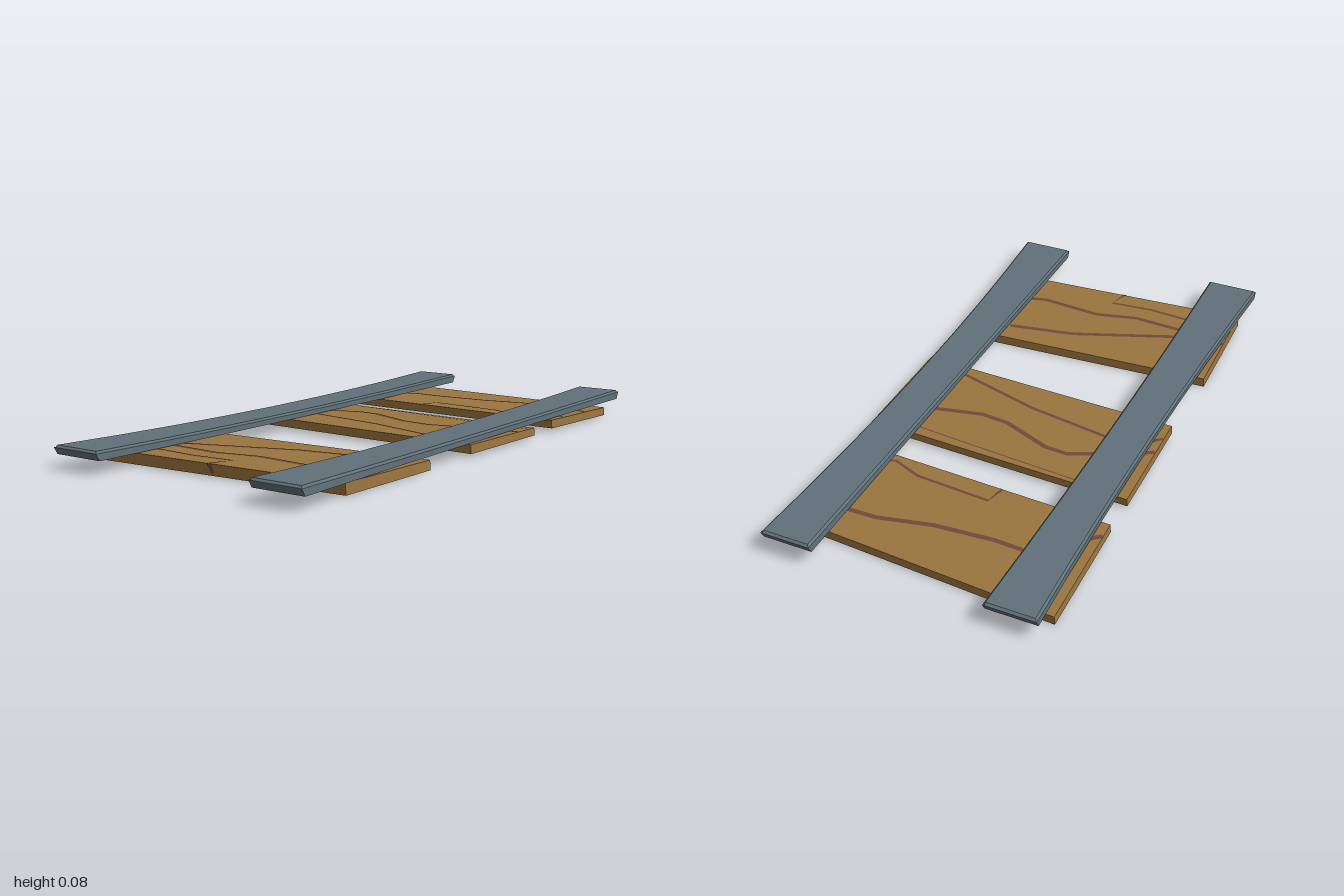
import * as THREE from 'three';

const mat = (name, color) => {
  const m = new THREE.MeshStandardMaterial({ color, flatShading: true, side: THREE.DoubleSide });
  m.name = name;
  return m;
};

// Flat-shaded mesh from quads [a, b, c, d], counter-clockwise from outside
function quadMesh(name, quads, material) {
  const pos = [];
  for (const [a, b, c, d] of quads) pos.push(...a, ...b, ...c, ...a, ...c, ...d);
  const g = new THREE.BufferGeometry();
  g.setAttribute('position', new THREE.Float32BufferAttribute(pos, 3));
  g.computeVertexNormals();
  const mesh = new THREE.Mesh(g, material);
  mesh.name = name;
  return mesh;
}

// Rail: bevelled section lofted along z, bowed and flared at the ends, open underneath
function rail(name, side, material) {
  const bevel = 0.007;
  const section = (z, drop) => {
    const outer = side * (0.45 + 0.0245 * z * z + 0.0155 * z);
    const inner = side * (0.302 - 0.0065 * z * z + 0.0065 * z);
    const x0 = Math.min(outer, inner), x1 = Math.max(outer, inner);
    const base = 0.04 + 0.0055 * z * z - 0.0025 * z;
    const top = 0.065 + 0.0125 * z * z - 0.0035 * z;
    return [
      [x0, base, z * 0.986], [x0, top - bevel, z], [x0 + bevel, top - drop, z],
      [x1 - bevel, top - drop, z], [x1, top - bevel, z], [x1, base, z * 0.986],
    ];
  };
  const rows = [section(-1, bevel)];
  for (let i = -4; i <= 4; i++) rows.push(section((i / 4) * 0.992, 0));
  rows.push(section(1, bevel));
  const quads = [];
  for (let i = 0; i < rows.length - 1; i++)
    for (let j = 0; j < 5; j++)
      quads.push([rows[i][j], rows[i + 1][j], rows[i + 1][j + 1], rows[i][j + 1]]);
  const a = rows[0], e = rows[rows.length - 1];
  quads.push([a[0], a[1], a[4], a[5]], [e[0], e[5], e[4], e[1]]);
  return quadMesh(name, quads, material);
}

// Plank board: skewed slab with a sloping top, open underneath
function board(name, corners, low, top, material) {
  const lower = corners.map(([x, z]) => [x, low(z), z]);
  const upper = corners.map(([x, z]) => [x * 0.995, top(z), z]);
  const quads = [[upper[0], upper[3], upper[2], upper[1]]];
  for (let i = 0; i < 4; i++) {
    const k = (i + 1) % 4;
    quads.push([lower[i], upper[i], upper[k], lower[k]]);
  }
  return quadMesh(name, quads, material);
}

// Grain: thin ribbon following a line on the plank top
function grain(name, width, line, top, material) {
  const edge = line.map(([x, z], i) => {
    const p = line[Math.max(i - 1, 0)], n = line[Math.min(i + 1, line.length - 1)];
    const dx = n[0] - p[0], dz = n[1] - p[1], l = Math.hypot(dx, dz);
    const ox = (-dz / l) * width / 2, oz = (dx / l) * width / 2;
    const at = (s) => [x + s * ox, top(z + s * oz) + 0.0015, z + s * oz];
    return [at(1), at(-1)];
  });
  const quads = edge.slice(1).map((e, i) => [edge[i][0], e[0], e[1], edge[i][1]]);
  return quadMesh(name, quads, material);
}

const ramp = (z0, y0, z1, y1) => (z) => y0 + ((z - z0) / (z1 - z0)) * (y1 - y0);

export function createModel() {
  const group = new THREE.Group();
  group.name = 'plankTrack';
  const wood = mat('wood', 0x9a7540);
  const grainColor = mat('woodGrain', 0x74493b);
  const steel = mat('steel', 0x61717a);

  group.add(rail('leftRail', 1, steel), rail('rightRail', -1, steel));

  // Corners run back right, back left, front left, front right
  const addPlank = (name, corners, low, top) => {
    const part = new THREE.Group();
    part.name = name;
    part.add(board(name + 'Board', corners, low, top, wood));
    group.add(part);
    return (width, ...line) => part.add(grain(name + 'Grain', width, line, top, grainColor));
  };

  const backGrain = addPlank('backPlank',
    [[-0.48, -0.92], [0.47, -0.86], [0.465, -0.45], [-0.48, -0.49]],
    ramp(-0.92, 0.002, -0.45, 0.012), ramp(-0.92, 0.031, -0.45, 0.041));
  backGrain(0.018, [-0.475, -0.55], [-0.29, -0.705], [-0.18, -0.7], [0.02, -0.715], [0.2, -0.755], [0.3, -0.757], [0.466, -0.7]);
  backGrain(0.011, [-0.1, -0.476], [-0.083, -0.543], [0.18, -0.525], [0.28, -0.486], [0.466, -0.55]);

  const middleGrain = addPlank('middlePlank',
    [[-0.48, -0.35], [0.47, -0.315], [0.47, 0.105], [-0.48, 0.07]],
    ramp(-0.35, 0.008, 0.1, 0.011), ramp(-0.35, 0.034, 0.1, 0.041));
  middleGrain(0.018, [-0.475, -0.09], [-0.29, -0.18], [-0.21, -0.215], [-0.13, -0.21], [0.04, -0.142], [0.14, -0.133], [0.3, -0.168], [0.466, -0.2]);
  middleGrain(0.013, [-0.475, -0.01], [-0.4, -0.08], [-0.29, -0.076], [0, -0.03], [0.3, 0.055]);
  middleGrain(0.005, [-0.29, -0.328], [0.1, -0.3], [0.466, -0.27]);

  const frontGrain = addPlank('frontPlank',
    [[-0.485, 0.395], [0.47, 0.343], [0.472, 0.78], [-0.475, 0.835]],
    ramp(0.343, 0, 0.835, 0.004), ramp(0.343, 0.032, 0.835, 0.041));
  frontGrain(0.018, [-0.4, 0.64], [-0.3, 0.61], [0.06, 0.473], [0.3, 0.43]);
  frontGrain(0.018, [-0.475, 0.63], [-0.3, 0.66], [-0.12, 0.67], [0.03, 0.635], [0.25, 0.652], [0.32, 0.635]);
  frontGrain(0.012, [-0.3, 0.737], [-0.15, 0.748], [0.005, 0.735], [-0.017, 0.806]);

  // Grain mark running down the front edge
  group.add(quadMesh('frontEdgeGrain', [[
    [-0.012, 0.012, 0.811], [0.002, 0.012, 0.81], [-0.008, 0.04, 0.811], [-0.026, 0.04, 0.812],
  ]], grainColor));
  return group;
}
